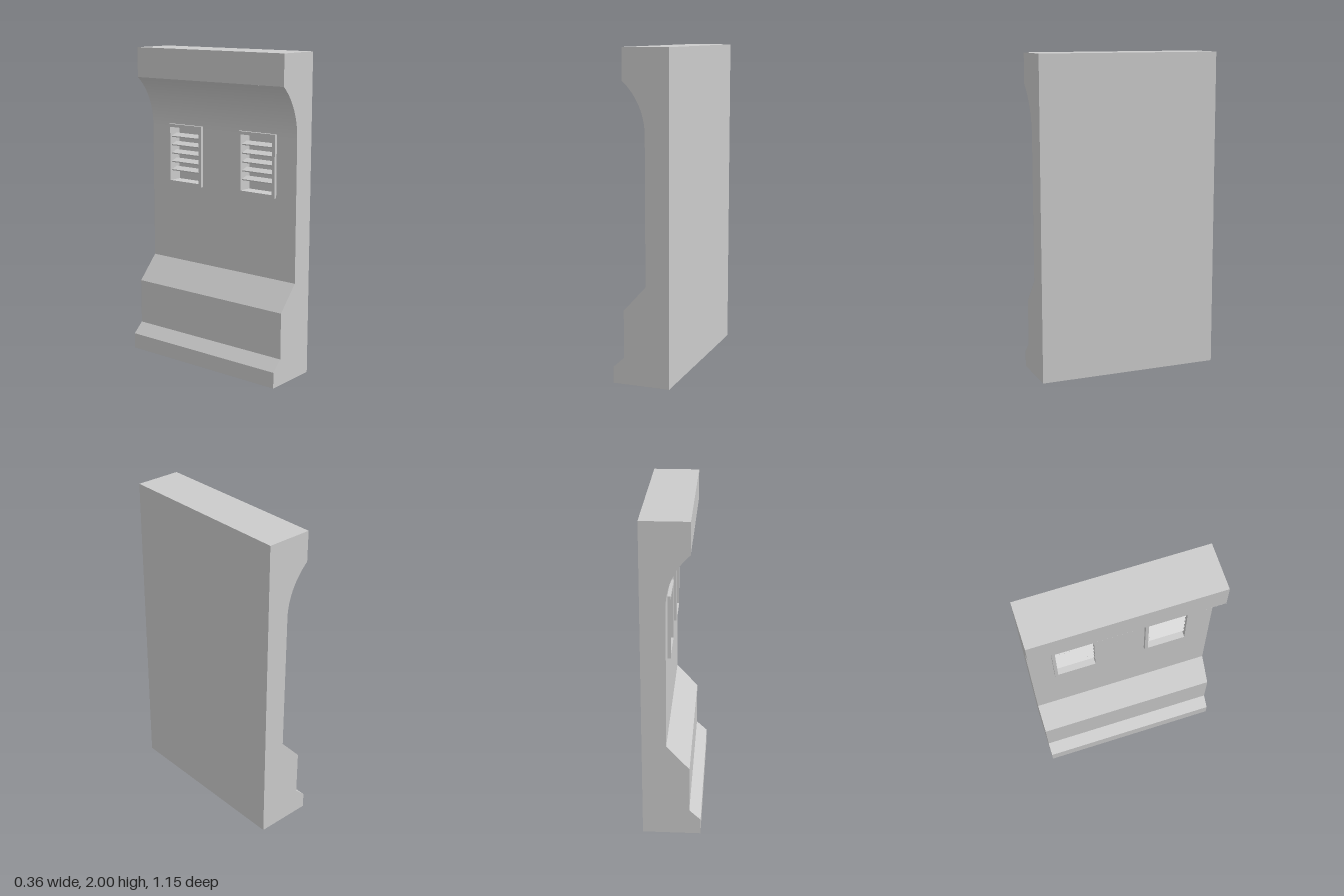
import * as THREE from 'three';
import { toCreasedNormals } from 'three/addons/utils/BufferGeometryUtils.js';

const DEPTH = 1.154;      // wall length along z
const FACE = 0.03;        // x of the flat wall face
const RECESS = 0.1;       // x of the recess back
const BAND = [1.1, 1.5];  // height range of the panel that holds the vents
const VENT = { w: 0.28, h: 0.39, y: 1.315, z: 0.29, border: 0.02 };

const material = new THREE.MeshStandardMaterial({ color: 0xcccccc });

function addMesh(parent, name, geometry) {
  const mesh = new THREE.Mesh(geometry, material);
  mesh.name = name;
  parent.add(mesh);
  return mesh;
}

// Adds a centred rectangle to a shape or path
function rect(path, cx, cy, w, h) {
  path.moveTo(cx - w / 2, cy - h / 2);
  path.lineTo(cx + w / 2, cy - h / 2);
  path.lineTo(cx + w / 2, cy + h / 2);
  path.lineTo(cx - w / 2, cy + h / 2);
  path.closePath();
  return path;
}

// Extrudes a shape drawn in (z, y) from x = x0 to x = x1
function extrudeAlongX(shape, x0, x1) {
  const g = new THREE.ExtrudeGeometry(shape, { depth: x1 - x0, bevelEnabled: false });
  g.rotateY(-Math.PI / 2); // shape x -> z, extrusion -> -x
  g.translate(x1, 0, 0);
  return g;
}

// Moulded wall section: plinth, sloped ledge, flat face, cove and cornice
function wallGeometry() {
  const s = new THREE.Shape();
  s.moveTo(-0.18, 0);
  s.lineTo(0.177, 0);
  s.lineTo(0.18, 2);
  s.lineTo(-0.11, 2);
  s.lineTo(-0.11, 1.81);
  s.absarc(FACE - 0.413, 1.5, 0.413, Math.asin(0.31 / 0.413), 0, true);
  s.lineTo(RECESS, BAND[1]);
  s.lineTo(RECESS, BAND[0]);
  s.lineTo(FACE, BAND[0]);
  s.lineTo(FACE, 0.61);
  s.lineTo(-0.11, 0.455);
  s.lineTo(-0.11, 0.165);
  s.lineTo(-0.18, 0.1);
  s.closePath();
  const g = new THREE.ExtrudeGeometry(s, { depth: DEPTH, bevelEnabled: false, curveSegments: 16 });
  g.translate(0, 0, -DEPTH / 2);
  return toCreasedNormals(g, 0.4);
}

export function createModel() {
  const model = new THREE.Group();
  model.name = 'wallPanel';
  addMesh(model, 'wall', wallGeometry());

  const innerW = VENT.w - 2 * VENT.border;
  const innerH = VENT.h - 2 * VENT.border;

  // Face panel with an opening for each vent
  const panel = rect(new THREE.Shape(), 0, (BAND[0] + BAND[1]) / 2, DEPTH, BAND[1] - BAND[0]);
  for (const side of [-1, 1]) {
    panel.holes.push(rect(new THREE.Path(), side * VENT.z, VENT.y, innerW, innerH));
  }
  addMesh(model, 'ventPanel', extrudeAlongX(panel, FACE, RECESS));

  // Vents: raised frame and a stack of tilted slats
  const frameShape = rect(new THREE.Shape(), 0, 0, VENT.w, VENT.h);
  frameShape.holes.push(rect(new THREE.Path(), 0, 0, innerW, innerH));
  const frameGeometry = extrudeAlongX(frameShape, 0.01, FACE);
  const slatGeometry = new THREE.BoxGeometry(0.05, 0.008, innerW);

  for (const side of [-1, 1]) {
    const vent = new THREE.Group();
    vent.name = side > 0 ? 'frontVent' : 'backVent';
    vent.position.set(0, VENT.y, side * VENT.z);
    addMesh(vent, 'ventFrame', frameGeometry);
    for (let i = 1; i <= 5; i++) {
      const slat = addMesh(vent, 'ventSlat', slatGeometry);
      slat.position.set(0.05, innerH / 2 - i * 0.055, 0);
      slat.rotation.z = 0.35;
    }
    model.add(vent);
  }
  return model;
}
